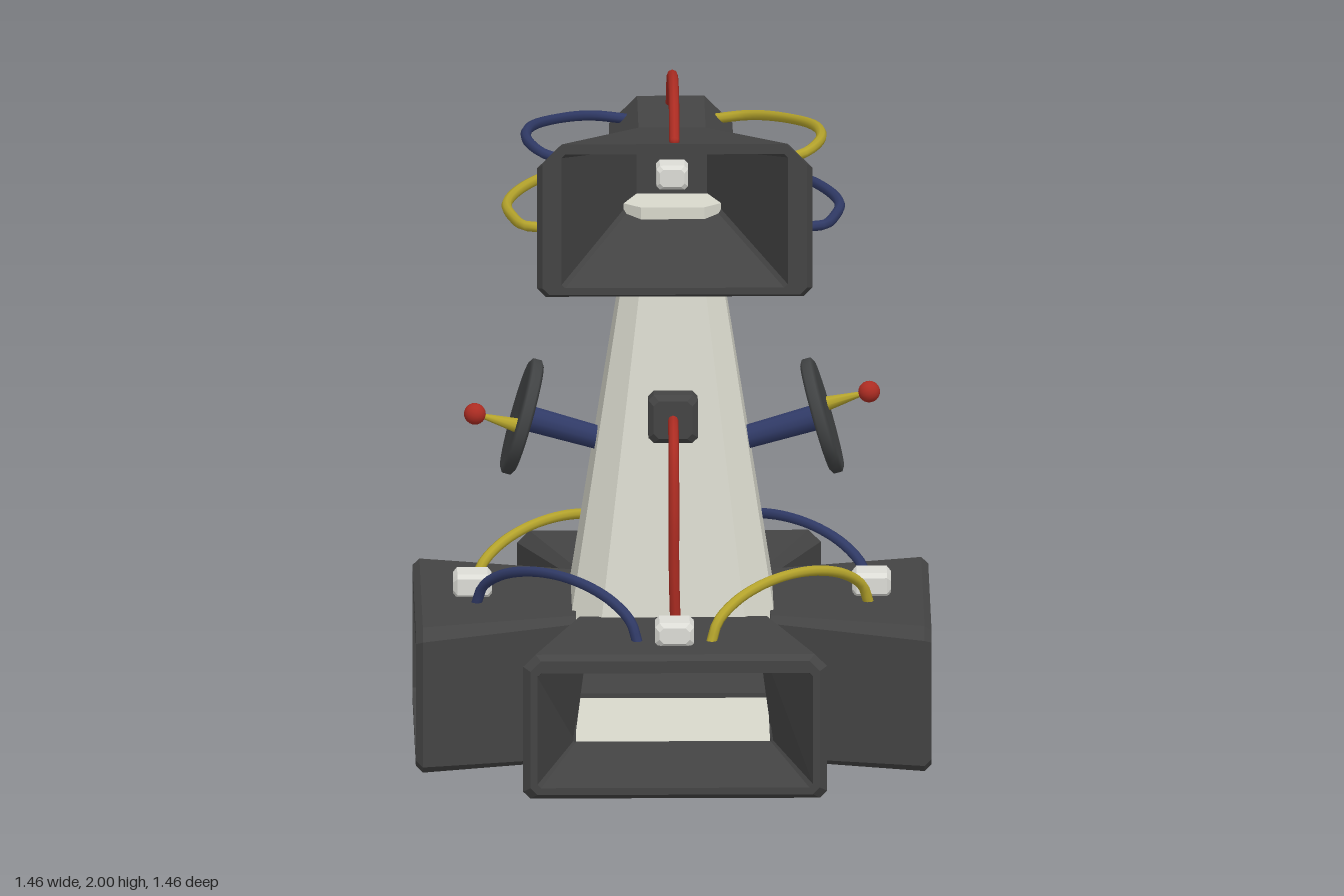
import * as THREE from 'three';

const mat = (name, color, flatShading = false) => {
  const m = new THREE.MeshStandardMaterial({ color });
  m.name = name;
  m.flatShading = flatShading;
  return m;
};

// Chamfered rectangle, counter-clockwise from the front.
// s = { z, w: half width, wt: half width at top, y0, y1, c: lower chamfer, ct: upper chamfer }
function ring({ z, w, wt = w, y0, y1, c, ct = c }) {
  return [
    [w, y0 + c], [wt, y1 - ct], [wt - ct, y1], [-wt + ct, y1],
    [-wt, y1 - ct], [-w, y0 + c], [-w + c, y0], [w - c, y0],
  ].map(([x, y]) => new THREE.Vector3(x, y, z));
}

// Skin over successive rings, with optional end caps
function loft(sections, capStart, capEnd) {
  const rings = sections.map(ring);
  const n = 8, pts = [];
  for (let i = 0; i < rings.length - 1; i++) {
    for (let j = 0; j < n; j++) {
      const k = (j + 1) % n, a = rings[i], b = rings[i + 1];
      pts.push(a[j], a[k], b[k], a[j], b[k], b[j]);
    }
  }
  const first = rings[0], last = rings[rings.length - 1];
  for (let j = 1; j < n - 1; j++) {
    if (capStart) pts.push(first[0], first[j + 1], first[j]);
    if (capEnd) pts.push(last[0], last[j], last[j + 1]);
  }
  const g = new THREE.BufferGeometry().setFromPoints(pts);
  g.computeVertexNormals();
  return g;
}

export function createModel() {
  const dark = mat('charcoal', 0x444444, true);
  const darkSmooth = mat('dish grey', 0x414344);
  const pale = mat('pale grey', 0xd8d8cc, true);
  const white = mat('off white', 0xdcdcd6, true);
  const red = mat('red', 0xac2c22);
  const yellow = mat('yellow', 0xb5a42c);
  const blue = mat('blue', 0x303a66);

  const root = new THREE.Group();
  const add = (name, geo, material, parent = root, x = 0, y = 0, z = 0) => {
    const m = new THREE.Mesh(geo, material);
    m.name = name;
    m.position.set(x, y, z);
    parent.add(m);
    return m;
  };
  const hose = (name, points, material, r = 0.015) => {
    const ends = points.map((p) => new THREE.Vector3(...p));
    const curve = new THREE.CatmullRomCurve3(ends);
    add(name, new THREE.TubeGeometry(curve, 32, r, 8), material);
    for (const e of [ends[0], ends[ends.length - 1]]) {
      add(name + 'End', new THREE.SphereGeometry(r, 8, 6), material, root, e.x, e.y, e.z);
    }
  };
  // Small box with chamfered edges, facing +z
  const chamferBox = (w, h, d, b) => loft([
    { z: -d / 2, w: w / 2 - b, y0: -h / 2 + b, y1: h / 2 - b, c: b },
    { z: -d / 2 + b, w: w / 2, y0: -h / 2, y1: h / 2, c: b },
    { z: d / 2 - b, w: w / 2, y0: -h / 2, y1: h / 2, c: b },
    { z: d / 2, w: w / 2 - b, y0: -h / 2 + b, y1: h / 2 - b, c: b },
  ], true, true);

  // Base: four open horns around a hollow chamber
  const hornGeo = loft([
    { z: 0.275, w: 0.285, y0: 0, y1: 0.42, c: 0.01, ct: 0.02 },
    { z: 0.71, w: 0.43, y0: 0, y1: 0.42, c: 0.02, ct: 0.035 },
    { z: 0.73, w: 0.41, y0: 0.015, y1: 0.405, c: 0.02, ct: 0.03 },
    { z: 0.73, w: 0.39, y0: 0.035, y1: 0.37, c: 0.01 },
    { z: 0.275, w: 0.28, wt: 0.24, y0: 0.055, y1: 0.365, c: 0.005 },
    { z: 0.275, w: 0.285, y0: 0, y1: 0.42, c: 0.01, ct: 0.02 },
  ]);
  const blockGeo = chamferBox(0.11, 0.07, 0.11, 0.012);
  for (let i = 0; i < 4; i++) {
    const arm = new THREE.Group();
    arm.name = 'baseArm';
    arm.rotation.y = (i * Math.PI) / 2;
    root.add(arm);
    add('baseHorn', hornGeo, dark, arm);
    add('hornBlock', blockGeo, white, arm, 0, 0.45, 0.565);
  }
  add('chamberFloor', new THREE.BoxGeometry(0.56, 0.04, 0.56), pale, root, 0, 0.021, 0);
  add('chamberCeiling', new THREE.BoxGeometry(0.55, 0.03, 0.55), pale, root, 0, 0.385, 0);

  // Tapered tower with a straight neck
  const square = (z, w, c) => ({ z, w, y0: -w, y1: w, c });
  const tower = add('tower', loft([
    square(0.37, 0.293, 0.085), square(1.37, 0.14, 0.05), square(1.58, 0.14, 0.05),
  ], true, true), pale);
  tower.rotation.x = -Math.PI / 2;

  // Head: box at the rear flaring into a wide open mouth
  add('headHorn', loft([
    { z: -0.34, w: 0.145, y0: 1.57, y1: 1.765, c: 0.02, ct: 0.065 },
    { z: -0.315, w: 0.175, y0: 1.545, y1: 1.79, c: 0.025, ct: 0.08 },
    { z: 0.01, w: 0.175, y0: 1.545, y1: 1.78, c: 0.025, ct: 0.08 },
    { z: 0.61, w: 0.39, y0: 1.44, y1: 1.885, c: 0.025, ct: 0.07 },
    { z: 0.63, w: 0.375, y0: 1.45, y1: 1.89, c: 0.02, ct: 0.06 },
    { z: 0.63, w: 0.32, y0: 1.47, y1: 1.86, c: 0.01 },
    { z: -0.02, w: 0.1, y0: 1.57, y1: 1.72, c: 0.01 },
  ], true, true), dark);
  add('mouthBlock', chamferBox(0.09, 0.07, 0.09, 0.01), white, root, 0, 1.645, 0.02);

  // Rear probe
  const probe = add('rearProbe', new THREE.CylinderGeometry(0.012, 0.037, 0.22, 8), yellow, root, 0, 1.655, -0.44);
  probe.rotation.x = -Math.PI / 2;
  add('rearProbeBall', new THREE.SphereGeometry(0.053, 24, 16), red, root, 0, 1.655, -0.57);

  // Dishes on the left, back and right of the tower
  for (let i = 0; i < 3; i++) {
    const turn = new THREE.Group();
    turn.name = 'dishArm';
    turn.rotation.y = (i * Math.PI) / 2;
    root.add(turn);
    // Local y runs outward along the dish axis
    const dish = new THREE.Group();
    dish.name = 'dish';
    dish.position.set(0.425, 0.935, 0);
    dish.rotation.z = -Math.PI / 2 + 0.28;
    turn.add(dish);
    add('dishSupport', new THREE.CylinderGeometry(0.038, 0.034, 0.24, 12), blue, dish, 0, -0.12, 0);
    const profile = [[0, -0.02], [0.155, -0.02], [0.168, -0.012], [0.168, 0.012], [0.155, 0.02], [0, 0.012]];
    const disc = new THREE.LatheGeometry(profile.map((p) => new THREE.Vector2(...p)), 32);
    add('dishDisc', disc, darkSmooth, dish);
    const back = i === 1;
    add('dishProbe', new THREE.CylinderGeometry(0.007, 0.022, 0.11, 8), back ? darkSmooth : yellow, dish, 0, 0.065, -0.12);
    add('dishProbeBall', new THREE.SphereGeometry(0.031, 16, 12), back ? darkSmooth : red, dish, 0, 0.14, -0.12);
  }

  // Front socket with its drop cable
  add('frontSocket', chamferBox(0.14, 0.14, 0.08, 0.015), dark, root, 0, 0.99, 0.225);
  hose('frontCable', [
    [0, 0.99, 0.25], [0, 0.98, 0.33], [0, 0.93, 0.41], [0, 0.78, 0.463], [0, 0.6, 0.468], [0.005, 0.41, 0.455],
  ], red);

  // Arched cables between neighbouring base horns
  for (const [sx, sz] of [[1, 1], [-1, 1], [1, -1], [-1, -1]]) {
    const points = [];
    for (let k = 0; k <= 8; k++) {
      const a = (k / 8) * Math.PI;
      const t = Math.cos(a) * 0.225;
      points.push([sx * (0.33 + t), 0.415 + 0.14 * Math.sin(a), sz * (0.33 - t)]);
    }
    hose('baseCable', points, sx === sz ? yellow : blue);
  }

  // Cables over the head
  hose('topCable', [
    [0, 1.77, -0.26], [0, 1.9, -0.075], [0, 1.965, 0.14], [0, 1.984, 0.32], [0, 1.955, 0.46], [0, 1.88, 0.555],
  ], red);
  for (const s of [1, -1]) {
    hose('upperHeadCable', [
      [0.11, 1.74, -0.24], [0.22, 1.765, -0.19], [0.36, 1.81, 0.05], [0.415, 1.845, 0.3],
      [0.41, 1.85, 0.45], [0.365, 1.84, 0.545], [0.31, 1.825, 0.555],
    ].map(([x, y, z]) => [s * x, y, z]), s > 0 ? yellow : blue);
    hose('lowerHeadCable', [
      [0.17, 1.62, -0.235], [0.25, 1.62, -0.2], [0.4, 1.623, 0.02], [0.47, 1.625, 0.26],
      [0.455, 1.625, 0.42], [0.42, 1.627, 0.53], [0.36, 1.627, 0.55],
    ].map(([x, y, z]) => [s * x, y, z]), s > 0 ? blue : yellow);
  }
  return root;
}
